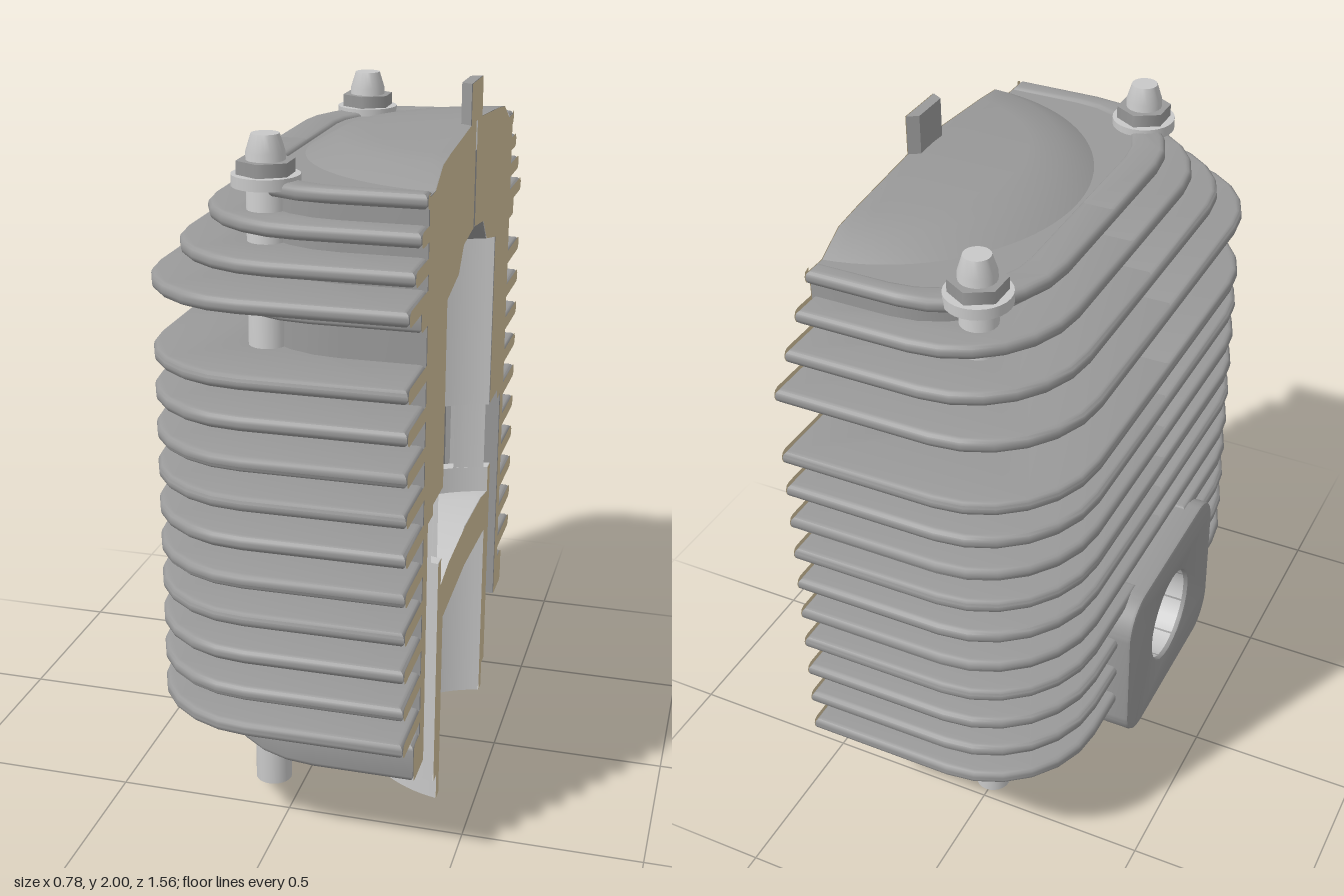
import * as THREE from 'three';
import { mergeGeometries, toCreasedNormals } from 'three/addons/utils/BufferGeometryUtils.js';

const CUT = 0.39;   // x of the section plane
const AXIS = 0.46;  // x of the cylinder axis
const OFF = AXIS - CUT;

const mat = (name, color, side = THREE.FrontSide) => {
  const m = new THREE.MeshStandardMaterial({ color, side });
  m.name = name;
  return m;
};

export function createModel() {
  const model = new THREE.Group();
  model.name = 'engineCylinderCutaway';
  const casting = mat('castGrey', 0x999999, THREE.DoubleSide);
  const steel = mat('lightSteel', 0xc8c8c8, THREE.DoubleSide);
  const section = mat('sectionTan', 0xd0bf9a, THREE.DoubleSide);

  const add = (name, geo, material) => {
    const m = new THREE.Mesh(geo, material);
    m.name = name;
    model.add(m);
    return m;
  };
  const shapeOf = pts => new THREE.Shape(pts.map(p => new THREE.Vector2(p[0], p[1])));

  // Plan outline from (x0, z0) round one corner to the section plane
  const outline = (x0, zMax, r, z0, xEnd = CUT) => {
    const pts = [[x0, z0]];
    for (let i = 0; i <= 6; i++) {
      const a = i / 6 * Math.PI / 2;
      pts.push([x0 + r - r * Math.cos(a), zMax - r + r * Math.sin(a)]);
    }
    pts.push([xEnd, zMax]);
    return pts;
  };
  // Arc about the cylinder axis, angles measured from -x towards z
  const arc = (r, t0, t1, n = 16) => Array.from({ length: n + 1 }, (_, i) => {
    const t = t0 + (t1 - t0) * i / n;
    return [AXIS - r * Math.cos(t), r * Math.sin(t)];
  });
  // Extrude a plan shape upwards and add it on both sides of z = 0
  const mirrored = (name, pts, y, height, bevel = 0) => {
    const g = new THREE.ExtrudeGeometry(shapeOf(pts), {
      depth: height - 2 * bevel, bevelEnabled: bevel > 0, bevelSize: bevel,
      bevelThickness: bevel, bevelSegments: 3, curveSegments: 8,
    });
    g.rotateX(-Math.PI / 2).translate(0, y + bevel, 0);
    const geo = toCreasedNormals(g, 0.6);
    add(name + 'Front', geo, casting);
    add(name + 'Back', geo, casting).scale.z = -1;
  };
  // Surface of revolution about the axis, trimmed flat at the section plane
  const cutLathe = (pts, t0 = -Infinity, t1 = Infinity) => {
    const g = new THREE.LatheGeometry(pts.map(p => new THREE.Vector2(p[0], p[1])), 40, Math.PI, Math.PI);
    const p = g.attributes.position;
    for (let i = 0; i < p.count; i++) {
      const r = pts[i % pts.length][0];
      const f = Math.floor(i / pts.length) / 40;
      const a = Math.acos(Math.min(1, OFF / r));
      const lo = Math.max(-a, t0), hi = Math.min(a, t1);
      const t = lo + (hi - lo) * f;
      p.setXYZ(i, AXIS - r * Math.cos(t), p.getY(i), r * Math.sin(t));
    }
    g.computeVertexNormals();
    return toCreasedNormals(g, 0.5);
  };

  // Barrel walls, with transfer channels in the lower part
  const body = z0 => outline(-0.11, 0.58, 0.28, z0);
  const t30 = Math.PI / 6;
  const channel = [[CUT, 0.53], [0.22, 0.53], [0.2, 0.47], [0.12, 0.4], [0.044, 0.24]];
  mirrored('lowerBarrel', [...body(0.15), ...channel, ...arc(0.37, t30, Math.asin(0.15 / 0.37))], 0.24, 0.46);
  mirrored('portBarrel', [...body(0), ...channel, ...arc(0.356, t30, 0)], 0.7, 0.27);
  const boreEnd = Math.acos(OFF / 0.356);
  mirrored('upperBarrel', [...body(0), ...arc(0.356, boreEnd, 0)], 0.97, 0.63);
  mirrored('head', [...body(0), [CUT, 0]], 1.6, 0.21);

  // Cooling fins and flanges
  const ring = (name, y, x0, zMax, h, bevel) => {
    const z0 = y < 0.74 ? 0.2 : 0;
    const end = CUT - bevel;
    mirrored(name, [
      ...outline(x0 + bevel, zMax - bevel, 0.3, z0, end),
      ...outline(-0.09, 0.56, 0.27, z0, end).reverse(),
    ], y - h / 2, h, bevel);
  };
  const rings = [];
  for (let i = 0; i < 10; i++) rings.push(['barrelFin', 0.405 + i * 0.107, -0.35, 0.78, 0.04, 0.016]);
  for (let i = 0; i < 4; i++) rings.push(['headFin', 1.56 + i * 0.08, -0.35 + i * 0.058, 0.78 - i * 0.06, 0.04, 0.016]);
  rings.push(['baseFlange', 0.295, -0.2, 0.65, 0.11, 0.015], ['headFlange', 1.518, -0.2, 0.65, 0.056, 0.01]);
  rings.forEach(r => ring(...r));

  // Domed head top and combustion chamber roof
  add('headDome', cutLathe([[0.525, 1.81], [0.44, 1.858], [0.35, 1.869], [0.0701, 1.897]]), casting);
  add('combustionChamber', cutLathe([[0.0701, 1.6], [0.157, 1.585], [0.212, 1.52], [0.356, 1.49]]), casting);

  // Bore lining, with posts between the ports
  add('bore', cutLathe([[0.352, 1.49], [0.352, 0.965]]), steel);
  add('boreWall', cutLathe([[0.352, 0.97], [0.352, 0.7]], -t30, t30), steel);
  for (const s of [-1, 1]) {
    const a = s * 1.07, b = s * 1.34;
    add('portPost', cutLathe([[0.352, 0.75], [0.39, 0.75], [0.39, 0.97], [0.352, 0.97], [0.352, 0.75]],
      Math.min(a, b), Math.max(a, b)), steel);
  }
  add('sleeve', cutLathe([[0.351, 0.08], [0.39, 0.08], [0.39, 0.76], [0.351, 0.76], [0.351, 0.08]]), steel);

  // Piston
  add('piston', cutLathe([[0.316, 0], [0.349, 0], [0.349, 0.68], [0.25, 0.7], [0.0701, 0.71],
    [0.0701, 0.585], [0.316, 0.565], [0.316, 0]]), steel);

  // Side port: flange and duct with a round passage
  const portBlock = (name, w, y0, y1, r, x, depth, bevel) => {
    const hw = w - bevel, b = y0 + bevel, t = y1 - bevel;
    const s = new THREE.Shape();
    s.moveTo(-hw + r, b).lineTo(hw - r, b);
    s.absarc(hw - r, b + r, r, -Math.PI / 2, 0);
    s.absarc(hw - r, t - r, r, 0, Math.PI / 2);
    s.absarc(-hw + r, t - r, r, Math.PI / 2, Math.PI);
    s.absarc(-hw + r, b + r, r, Math.PI, Math.PI * 1.5);
    s.holes.push(new THREE.Path().absarc(0, 0.485, 0.14 + bevel, 0, Math.PI * 2, true));
    const g = new THREE.ExtrudeGeometry(s, {
      depth: depth - 2 * bevel, bevelEnabled: bevel > 0, bevelSize: bevel,
      bevelThickness: bevel, bevelSegments: 2, curveSegments: 12,
    });
    g.rotateY(Math.PI / 2).translate(x + bevel, 0, 0);
    add(name, toCreasedNormals(g, 0.6), casting);
  };
  portBlock('portFlange', 0.32, 0.23, 0.74, 0.1, -0.39, 0.1, 0.01);
  portBlock('portDuct', 0.26, 0.25, 0.71, 0.08, -0.3, 0.4, 0);
  const passage = new THREE.CylinderGeometry(0.139, 0.139, 0.46, 32, 1, true);
  passage.rotateZ(Math.PI / 2).translate(-0.145, 0.485, 0);
  add('portPassage', passage, steel);

  // Studs with washers and nuts
  const stud = toCreasedNormals(new THREE.LatheGeometry(
    [[0, 0.11], [0.05, 0.11], [0.05, 1.885], [0.036, 1.93], [0, 1.93]].map(p => new THREE.Vector2(...p)), 24), 0.5);
  for (const z of [-0.51, 0.51]) {
    add('stud', stud, steel).position.set(-0.04, 0, z);
    add('washer', new THREE.CylinderGeometry(0.088, 0.088, 0.03, 28), steel).position.set(-0.04, 1.815, z);
    add('nut', new THREE.CylinderGeometry(0.076, 0.076, 0.035, 6), casting).position.set(-0.04, 1.847, z);
  }

  // Plug on top
  const plug = new THREE.ExtrudeGeometry(shapeOf([[CUT, 0.076], [0.36, 0.058], [0.36, -0.058], [CUT, -0.076]]),
    { depth: 0.11, bevelEnabled: false });
  plug.rotateX(-Math.PI / 2).translate(0, 1.89, 0);
  add('plug', plug, casting);

  // Cut faces on the section plane
  const faces = [];
  const face = pts => {
    for (const s of [-1, 1]) {
      faces.push(new THREE.ShapeGeometry(shapeOf(pts.map(p => [p[0] * s, p[1]]))));
    }
  };
  const chord = r => Math.sqrt(r * r - OFF * OFF);
  const bore = chord(0.352), skirt = chord(0.316), outer = chord(0.39);
  face([[0.01, 1.897], [0.343, 1.869], [0.434, 1.858], [0.52, 1.81], [0.58, 1.81], [0.58, 0.24], [0.53, 0.24],
    [0.53, 0.94], [0.47, 0.94], [0.47, 0.97], [bore, 0.97], [bore, 1.49], [0.2, 1.52], [0.14, 1.585], [0.01, 1.6]]);
  face([[bore, 0.08], [outer, 0.08], [outer, 0.76], [bore, 0.76]]);
  face([[skirt, 0], [bore, 0], [bore, 0.68], [0.24, 0.7], [0, 0.71], [0, 0.585], [skirt, 0.565]]);
  face([[0, 1.892], [0.076, 1.892], [0.076, 2], [0, 2]]);
  for (const [, y, , z, h, b] of rings) {
    face([[0.58, y - h / 2], [z - b, y - h / 2], [z - b * 0.3, y - h / 2 + b * 0.3], [z, y - h / 2 + b],
      [z, y + h / 2 - b], [z - b * 0.3, y + h / 2 - b * 0.3], [z - b, y + h / 2], [0.58, y + h / 2]]);
  }
  const cut = mergeGeometries(faces);
  cut.rotateY(Math.PI / 2).translate(CUT + 0.002, 0, 0);
  const n = cut.attributes.normal;
  for (let i = 0; i < n.count; i++) n.setXYZ(i, 1, 0, 0);
  add('sectionFace', cut, section);

  return model;
}
